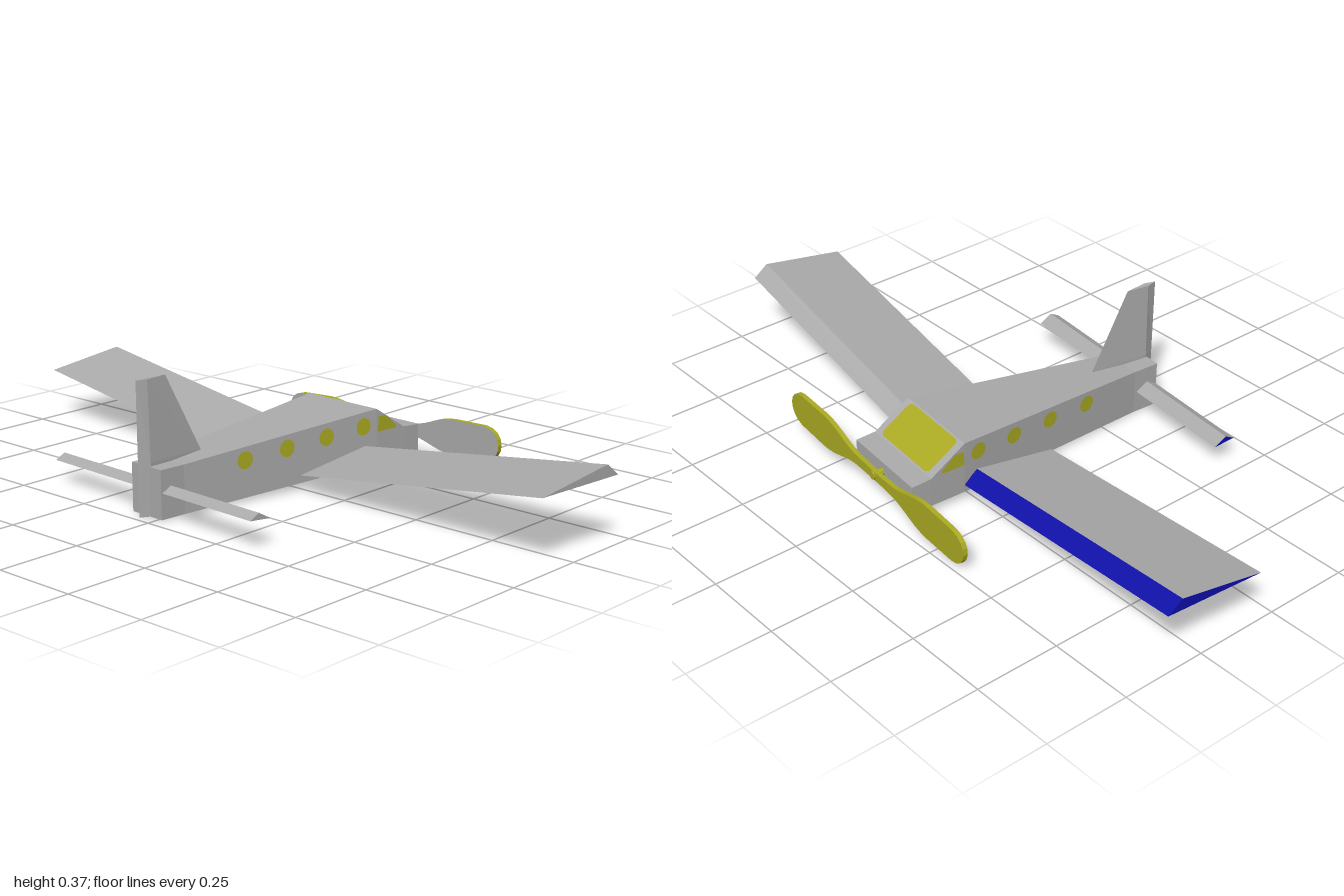
import * as THREE from 'three';

const grey = new THREE.MeshStandardMaterial({ color: 0xaaaaaa, flatShading: true });
grey.name = 'grey';
const yellow = new THREE.MeshStandardMaterial({ color: 0xaaaa22, flatShading: true });
yellow.name = 'yellow';
const blue = new THREE.MeshStandardMaterial({ color: 0x1010aa, flatShading: true });
blue.name = 'blue';

// Skin a run of equal-length rings; one geometry group per side, then start cap and end cap
function loft(name, rings, materials) {
  const n = rings[0].length;
  const faces = [];
  for (let i = 0; i < n; i++) {
    const j = (i + 1) % n;
    const side = [];
    for (let r = 0; r + 1 < rings.length; r++) {
      const a = rings[r], b = rings[r + 1];
      side.push([a[i], a[j], b[j]], [a[i], b[j], b[i]]);
    }
    faces.push(side);
  }
  const first = rings[0], last = rings[rings.length - 1];
  const startCap = [], endCap = [];
  for (let i = 1; i + 1 < n; i++) {
    startCap.push([first[0], first[i + 1], first[i]]);
    endCap.push([last[0], last[i], last[i + 1]]);
  }
  faces.push(startCap, endCap);

  // Turn every face outward, whichever way the rings were listed
  const v = (p) => new THREE.Vector3(...p);
  let volume = 0;
  faces.flat().forEach(([a, b, c]) => { volume += v(a).dot(v(b).cross(v(c))); });

  const geometry = new THREE.BufferGeometry();
  const positions = [];
  faces.forEach((side, k) => {
    geometry.addGroup(positions.length / 3, side.length * 3, k);
    side.forEach(([a, b, c]) => positions.push(...a, ...(volume < 0 ? [...c, ...b] : [...b, ...c])));
  });
  geometry.setAttribute('position', new THREE.Float32BufferAttribute(positions, 3));
  geometry.computeVertexNormals();
  const mesh = new THREE.Mesh(geometry, materials || faces.map(() => grey));
  mesh.name = name;
  return mesh;
}

function polygon(points) {
  return new THREE.Shape(points.map(([x, y]) => new THREE.Vector2(x, y)));
}

function plate(name, shape, material) {
  const mesh = new THREE.Mesh(new THREE.ShapeGeometry(shape, 16), material);
  mesh.name = name;
  return mesh;
}

// Triangular wing section [z, y] swept from root to tip on one side
function wingHalf(name, s, root, tip, rise, section, materials) {
  const ring = (x, up) => section.map(([z, y]) => [s * x, y + up, z]);
  return loft(name, [ring(root, 0), ring(tip, rise)], materials);
}

function propeller() {
  const group = new THREE.Group();
  group.name = 'propeller';
  const shape = new THREE.Shape();
  shape.moveTo(0, -0.012);
  shape.lineTo(0.09, -0.016);
  shape.bezierCurveTo(0.15, -0.022, 0.18, -0.05, 0.25, -0.052);
  shape.lineTo(0.365, -0.05);
  shape.bezierCurveTo(0.435, -0.045, 0.435, 0.045, 0.365, 0.05);
  shape.lineTo(0.25, 0.052);
  shape.bezierCurveTo(0.18, 0.05, 0.15, 0.022, 0.09, 0.016);
  shape.lineTo(0, 0.012);
  for (const turn of [0, Math.PI]) {
    const blade = new THREE.Mesh(
      new THREE.ExtrudeGeometry(shape, { depth: 0.014, bevelEnabled: false, curveSegments: 8 }), yellow);
    blade.name = 'blade';
    blade.position.z = -0.007;
    blade.rotation.z = turn;
    // Grey rear face of the blade
    const back = plate('bladeBack', shape, grey);
    back.position.z = 0.0085;
    back.rotation.z = turn;
    group.add(blade, back);
  }
  const hub = new THREE.Mesh(new THREE.CylinderGeometry(0.012, 0.012, 0.04, 8), yellow);
  hub.name = 'hub';
  hub.rotation.x = Math.PI / 2;
  hub.position.z = 0.008;
  group.add(hub);
  group.position.set(0.008, 0.083, -0.46);
  group.rotation.set(0, 0.016, 0.035);
  return group;
}

export function createModel() {
  const plane = new THREE.Group();
  plane.name = 'airplane';

  // Fuselage: [z, half width, bottom, top]
  const sections = [
    [0.46, 0.06, 0.003, 0.14],
    [0.38, 0.06, 0.003, 0.14],
    [-0.268, 0.137, 0.031, 0.189],
    [-0.377, 0.138, 0.03, 0.118],
    [-0.438, 0.138, 0.029, 0.114],
  ];
  plane.add(loft('fuselage', sections.map(([z, w, b, t]) => [[-w, b, z], [w, b, z], [w, t, z], [-w, t, z]])));

  // Fin and rudder: [y, leading edge z, half thickness]
  const fin = [[0.003, 0.4, 0.014], [0.15, 0.27, 0.014], [0.376, 0.387, 0.009]];
  plane.add(loft('fin', fin.map(([y, lead, w]) => [[0, y, lead], [w, y, 0.455], [0, y, 0.487], [-w, y, 0.455]])));

  // Wings and tailplane: faces are leading, top, bottom, root, tip
  const wing = [[-0.268, 0.053], [-0.225, 0.088], [0.027, 0.053]];
  const tail = [[0.388, 0.07], [0.426, 0.092], [0.456, 0.076]];
  for (const s of [1, -1]) {
    const odd = s < 0 ? blue : grey;
    plane.add(wingHalf('wing', s, 0.134, 0.99, 0.116, wing, [odd, grey, grey, grey, odd]));
    plane.add(wingHalf('tailplane', s, 0, 0.406, 0, tail, [grey, grey, odd, grey, odd]));
  }

  // Windows along both sides, lying on the tapered walls
  const taper = Math.atan((0.137 - 0.06) / 0.648);
  const porthole = new THREE.Shape().absarc(0, 0, 0.025, 0, Math.PI * 2);
  const cockpit = [[-0.27, 0.122], [-0.343, 0.122], [-0.343, 0.13], [-0.302, 0.166], [-0.273, 0.166]];
  for (const s of [1, -1]) {
    for (const z of [0.185, 0.045, -0.09, -0.22]) {
      const k = (0.38 - z) / 0.648;
      const pane = plate('porthole', porthole, yellow);
      pane.position.set(s * (0.06 + 0.077 * k + 0.002), 0.105 + 0.043 * k, z);
      pane.rotation.y = s * (Math.PI / 2 - taper);
      plane.add(pane);
    }
    const pane = plate('cockpitSideWindow', polygon(cockpit.map(([z, y]) => [-s * z, y])), yellow);
    pane.position.x = s * 0.14;
    pane.rotation.y = s * Math.PI / 2;
    plane.add(pane);
  }

  // Windscreen with clipped corners on the sloping panel
  const w = 0.115, h = 0.06, c = 0.01;
  const screen = plate('windscreen', polygon([
    [-w + c, -h], [w - c, -h], [w, -h + c], [w, h - c], [w - c, h], [-w + c, h], [-w, h - c], [-w, -h + c],
  ]), yellow);
  const slope = Math.atan2(0.109, 0.071);
  screen.rotation.set(-slope, Math.PI, 0, 'YXZ');
  screen.position.set(0, 0.1535 + 0.0017, -0.3225 - 0.0011);
  plane.add(screen);

  plane.add(propeller());

  // Slight heading and bank
  plane.rotation.set(0, -0.08, 0.018, 'YXZ');
  plane.position.x = -0.008;
  const model = new THREE.Group();
  model.name = 'model';
  model.add(plane);
  return model;
}
